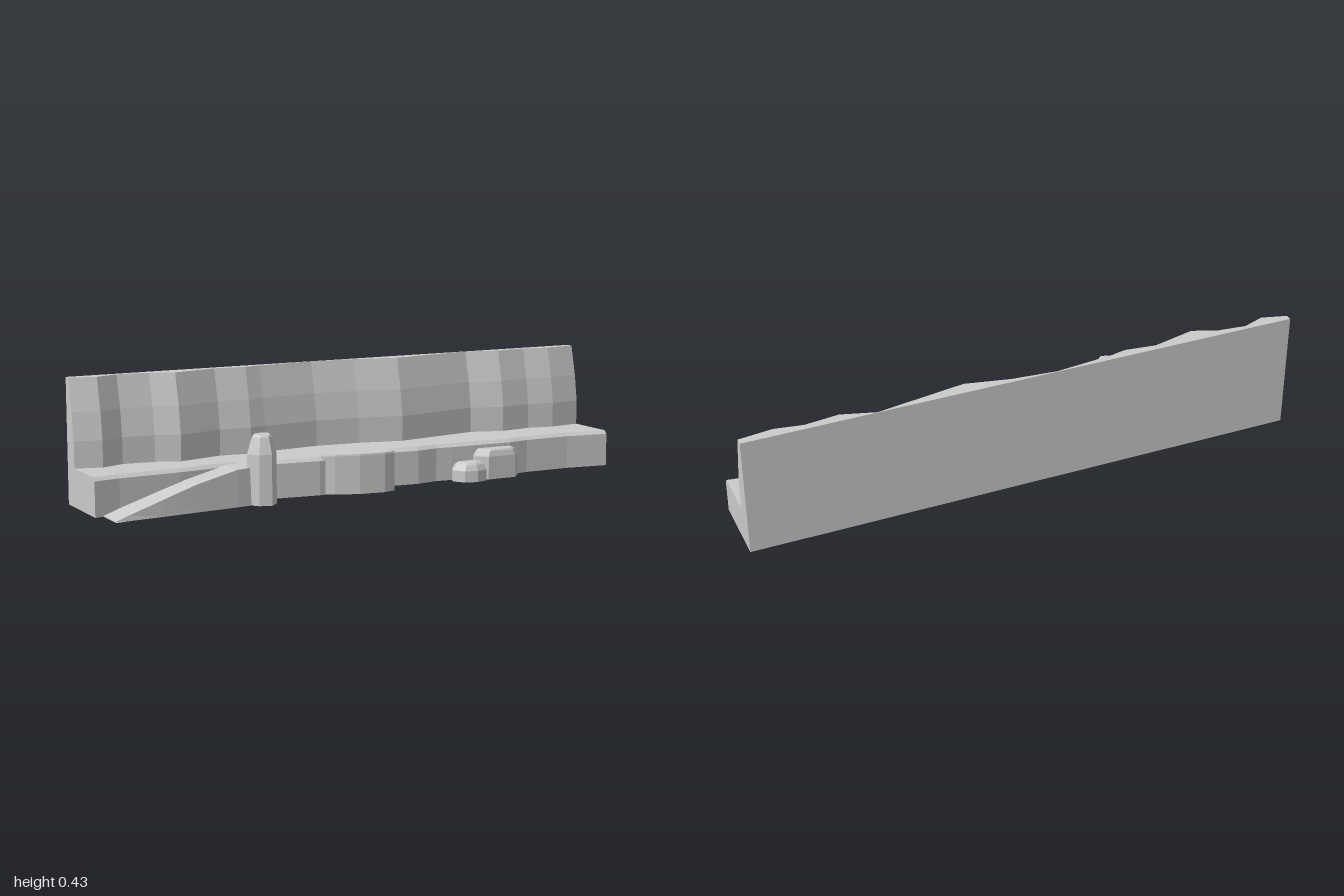
import * as THREE from 'three';

const material = new THREE.MeshStandardMaterial({ color: 0xcccccc, flatShading: true });

// Place a 2D section point (u, v) at distance t along an axis
const place = {
  x: (t, [y, z]) => [t, y, z],
  y: (t, [z, x]) => [x, t, z],
};

// Capped solid through closed sections: [{ t, ring: [[u, v], ...] }], t rising
function loft(name, axis, sections) {
  const middle = sections[sections.length >> 1].ring.map((p) => new THREE.Vector2(...p));
  if (THREE.ShapeUtils.isClockWise(middle)) sections.forEach((s) => s.ring.reverse());
  const pos = [];
  const rings = sections.map((s) => s.ring.map((p) => place[axis](s.t, p)));
  const tri = (a, b, c) => pos.push(...a, ...b, ...c);
  for (let i = 0; i + 1 < rings.length; i++) {
    const a = rings[i], b = rings[i + 1], n = a.length;
    for (let j = 0; j < n; j++) {
      const k = (j + 1) % n;
      tri(a[j], a[k], b[k]);
      tri(a[j], b[k], b[j]);
    }
  }
  const cap = (i, flip) => {
    const contour = sections[i].ring.map((p) => new THREE.Vector2(...p));
    for (const [a, b, c] of THREE.ShapeUtils.triangulateShape(contour, [])) {
      const r = rings[i];
      flip ? tri(r[a], r[c], r[b]) : tri(r[a], r[b], r[c]);
    }
  };
  cap(0, true);
  cap(rings.length - 1, false);
  const geometry = new THREE.BufferGeometry();
  geometry.setAttribute('position', new THREE.Float32BufferAttribute(pos, 3));
  geometry.computeVertexNormals();
  const mesh = new THREE.Mesh(geometry, material);
  mesh.name = name;
  return mesh;
}

// Piecewise linear lookup in [[x, value], ...]
function sample(line, x) {
  let i = 1;
  while (i < line.length - 1 && line[i][0] < x) i++;
  const [x0, a] = line[i - 1], [x1, b] = line[i];
  return a + ((b - a) * (x - x0)) / (x1 - x0);
}

// Upright rock: outline [[x, z], ...] shrunk about its centre, levels [[y, scale], ...]
function rock(name, outline, levels) {
  const cx = outline.reduce((s, p) => s + p[0], 0) / outline.length;
  const cz = outline.reduce((s, p) => s + p[1], 0) / outline.length;
  return loft(name, 'y', levels.map(([t, s]) => ({
    t, ring: outline.map(([x, z]) => [cz + (z - cz) * s, cx + (x - cx) * s]),
  })));
}

export function createModel() {
  const group = new THREE.Group();
  group.name = 'rockLedge';

  // Wavy foot of the cliff wall and wavy front edge of the ledge
  const foot = [[-1, -0.115], [-0.91, -0.09], [-0.83, -0.12], [-0.72, -0.108], [-0.64, -0.074],
    [-0.48, -0.114], [-0.37, -0.1], [-0.31, -0.113], [-0.1, -0.135], [0.06, -0.12], [0.22, -0.085],
    [0.54, -0.136], [0.66, -0.1], [0.78, -0.114], [0.88, -0.097], [1, -0.112]];
  const lip = [[-1, 0.072], [-0.91, 0.058], [-0.7, 0.052], [-0.55, 0.038], [-0.48, 0.035],
    [-0.38, 0.062], [-0.2, 0.085], [-0.08, 0.07], [0.08, 0.055], [0.2, 0.065], [0.28, 0.052],
    [0.34, 0.058], [0.58, 0.068], [0.66, 0.056], [0.84, 0.057], [1, 0.08]];
  const stations = [...new Set([...foot, ...lip].map((p) => p[0]))].sort((a, b) => a - b);
  group.add(loft('cliffAndLedge', 'x', stations.map((t) => {
    const f = sample(foot, t), l = sample(lip, t);
    return {
      t,
      ring: [[0, -0.178], [0, l], [0.118, l], [0.13, l - 0.012], [0.13, f], [0.22, f],
        [0.315, f - 0.014], [0.425, f - 0.04], [0.425, -0.178]],
    };
  })));

  // Ramp climbing to the ledge: [x, height, front z, back z]
  const ramp = [[-0.97, 0.003, 0.174, 0.05], [-0.92, 0.018, 0.166, 0.04], [-0.8, 0.055, 0.157, 0.04],
    [-0.68, 0.091, 0.146, 0.035], [-0.53, 0.124, 0.133, 0.025], [-0.43, 0.128, 0.12, 0.025]];
  group.add(loft('ramp', 'x', ramp.map(([t, h, z, back]) => ({
    t, ring: [[0, back], [0, z + 0.004], [h, z], [h, back]],
  }))));

  // Standing pillar with a tapered head
  group.add(rock('pillar', [[-0.455, 0.068], [-0.4, 0.064], [-0.382, 0.085], [-0.39, 0.14],
    [-0.42, 0.168], [-0.46, 0.155], [-0.487, 0.118]],
  [[0, 1], [0.17, 1], [0.226, 0.7], [0.233, 0.58]]));

  // Buttress bulging out of the ledge front
  group.add(rock('buttress', [[-0.19, 0.075], [-0.15, 0.1], [-0.07, 0.13], [0.02, 0.142],
    [0.065, 0.13], [0.078, 0.105], [0.08, 0.05], [-0.05, 0.06]],
  [[0, 1], [0.132, 1], [0.138, 0.97]]));

  // Two boulders at the foot of the ledge
  group.add(rock('smallBoulder', [[0.345, 0.05], [0.33, 0.085], [0.355, 0.125], [0.4, 0.138],
    [0.445, 0.125], [0.46, 0.09], [0.45, 0.05]],
  [[0, 1], [0.04, 1], [0.06, 0.8], [0.067, 0.62]]));
  group.add(rock('largeBoulder', [[0.43, 0.045], [0.425, 0.085], [0.46, 0.115], [0.57, 0.117],
    [0.602, 0.085], [0.59, 0.045]],
  [[0, 1], [0.082, 1], [0.1, 0.86], [0.106, 0.74]]));

  return group;
}
